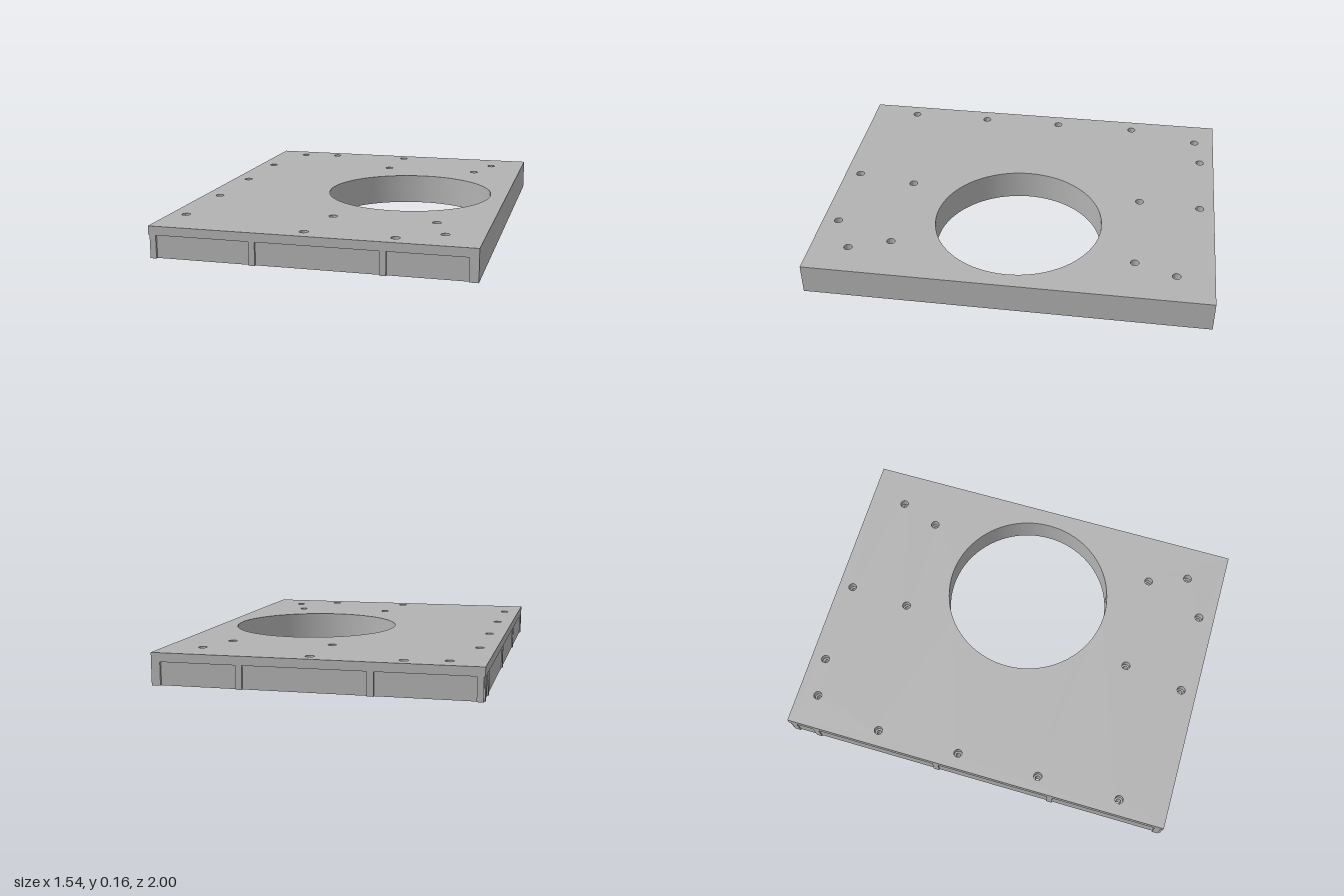
import * as THREE from 'three';
import { toCreasedNormals } from 'three/addons/utils/BufferGeometryUtils.js';

const W = 0.77, L = 1, RIB_TOP = 0.112, TOP = 0.155, T = 0.03;
const OPEN = { x: 0.26, z: 0, r: 0.427, outer: 0.467, mid: 0.445 };
const SCREWS = [
  [-0.6, -0.895], [-0.4, -0.925], [0.03, -0.925], [0.59, -0.815],
  [0.01, -0.61], [0.515, -0.61], [-0.69, -0.53], [-0.69, -0.1],
  [-0.69, 0.325], [-0.69, 0.75], [0.01, 0.61], [0.515, 0.61],
  [0.59, 0.81], [-0.04, 0.92], [0.385, 0.92],
];

export function createModel() {
  const model = new THREE.Group();
  const grey = new THREE.MeshStandardMaterial({ color: 0xb2b2b2 });
  grey.name = 'grey plastic';

  const add = (geometry, name, x = 0, y = 0, z = 0) => {
    const mesh = new THREE.Mesh(geometry, grey);
    mesh.name = name;
    mesh.position.set(x, y, z);
    model.add(mesh);
    return mesh;
  };
  // Beam under the plate between two corners in plan
  const beam = (name, x0, x1, z0, z1) =>
    add(new THREE.BoxGeometry(x1 - x0, RIB_TOP, z1 - z0), name,
      (x0 + x1) / 2, RIB_TOP / 2, (z0 + z1) / 2);
  const lathe = (pts, segments) => toCreasedNormals(
    new THREE.LatheGeometry(pts.map(p => new THREE.Vector2(...p)), segments), 0.6);

  // Top plate with the large opening and screw recesses
  const shape = new THREE.Shape();
  shape.moveTo(-W, -L).lineTo(W, -L).lineTo(W, L).lineTo(-W, L).closePath();
  const cut = (x, z, r) => {
    const hole = new THREE.Path();
    hole.absarc(x, -z, r, 0, Math.PI * 2, true);
    shape.holes.push(hole);
  };
  cut(OPEN.x, OPEN.z, OPEN.r);
  SCREWS.forEach(([x, z]) => cut(x, z, 0.021));
  const plate = new THREE.ExtrudeGeometry(shape,
    { depth: TOP - RIB_TOP, bevelEnabled: false, curveSegments: 40 });
  plate.rotateX(-Math.PI / 2);
  add(toCreasedNormals(plate, 0.6), 'topPlate', 0, RIB_TOP, 0);

  // Collar around the opening
  add(lathe([[OPEN.r, 0], [OPEN.outer, 0], [OPEN.outer, RIB_TOP],
    [OPEN.r, RIB_TOP], [OPEN.r, 0]], 80), 'openingCollar', OPEN.x, 0, OPEN.z);

  // Flush right-hand edge wall, and the slightly inset opposite wall
  beam('flushSideWall', 0.727, W, -L, L);
  beam('insetSideWall', -0.764, -0.734, -L, L);

  // Lengthwise ribs; the second is interrupted by the collar
  beam('lengthwiseRib', -0.28, -0.25, -L, L);
  const gapZ = Math.sqrt(OPEN.mid ** 2 - (0.345 - OPEN.x) ** 2);
  beam('lengthwiseRib', 0.33, 0.36, -L, -gapZ);
  beam('lengthwiseRib', 0.33, 0.36, gapZ, L);

  // End walls and crosswise ribs
  for (const z of [-0.973, 0.973]) beam('endWall', -W, 0.74, z - T / 2, z + T / 2);
  beam('crossRib', -W, 0.74, -0.867, -0.837);
  for (const z of [-0.2, 0.41]) {
    const gapX = Math.sqrt(OPEN.mid ** 2 - z * z);
    beam('crossRib', -W, OPEN.x - gapX, z - T / 2, z + T / 2);
    beam('crossRib', OPEN.x + gapX, 0.74, z - T / 2, z + T / 2);
  }

  // Hollow screw bosses with a ledge inside each recess
  const boss = lathe([[0.012, 0.035], [0.055, 0.035], [0.055, RIB_TOP],
    [0.021, RIB_TOP], [0.012, RIB_TOP], [0.012, 0.035]], 28);
  SCREWS.forEach(([x, z]) => add(boss, 'screwBoss', x, 0, z));

  return model;
}
